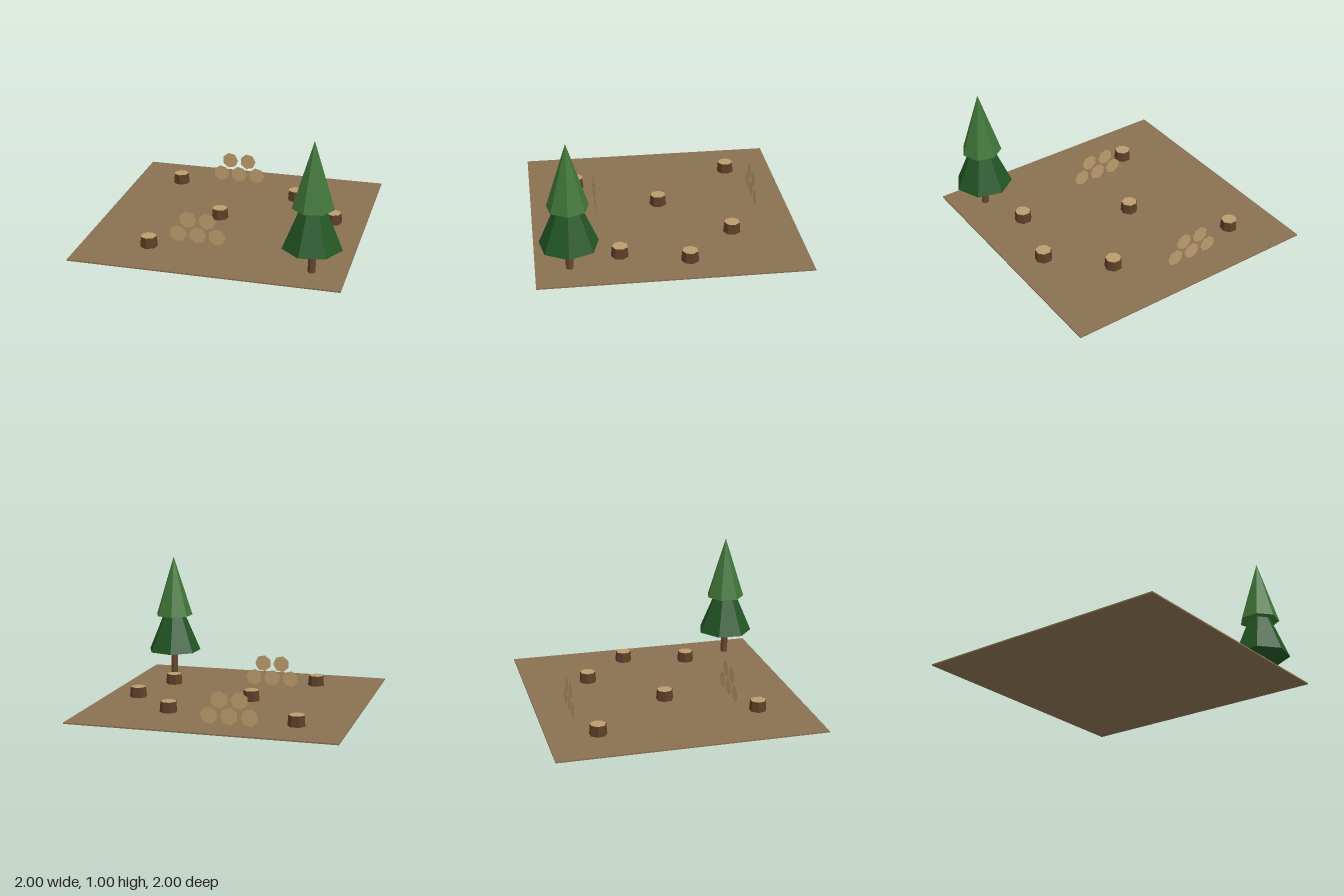
import * as THREE from 'three';

const mat = (name, color) => {
  const m = new THREE.MeshStandardMaterial({ color, flatShading: true });
  m.name = name;
  return m;
};

export function createModel() {
  const root = new THREE.Group();
  root.name = 'forestClearing';

  const soil = mat('soil', 0x8a7050);
  const bark = mat('bark', 0x5c3f28);
  const trunkBark = mat('trunkBark', 0x65452b);
  const cutWood = mat('cutWood', 0xbb9c6c);
  cutWood.side = THREE.DoubleSide;
  const darkLeaf = mat('darkLeaf', 0x225524);
  const lightLeaf = mat('lightLeaf', 0x3f7538);

  const TOP = 0.01; // ground surface height
  const add = (parent, name, geometry, material, x, y, z) => {
    const mesh = new THREE.Mesh(geometry, material);
    mesh.name = name;
    mesh.position.set(x, y, z);
    parent.add(mesh);
    return mesh;
  };

  // Thin square of ground
  add(root, 'ground', new THREE.BoxGeometry(2, TOP, 2), soil, 0, TOP / 2, 0);

  // Tapered stumps with a pale cut top
  const stumpGeo = new THREE.CylinderGeometry(0.06, 0.067, 0.08, 7);
  const stumps = [
    [-0.625, -0.625], [0.375, -0.5], [0.75, -0.125],
    [-0.125, 0], [0.625, 0.375], [-0.5, 0.625],
  ];
  for (const [x, z] of stumps) {
    add(root, 'stump', stumpGeo, [bark, cutWood, bark], x, TOP + 0.04, z);
  }

  // Two stacks of flat log ends, three below and two above
  const logEndGeo = new THREE.CircleGeometry(0.066, 7);
  for (const z of [0.5, -0.75]) {
    const stack = new THREE.Group();
    stack.name = 'logEnds';
    stack.position.set(-0.162, 0, z);
    for (let row = 0; row < 2; row++) {
      const count = 3 - row;
      for (let i = 0; i < count; i++) {
        add(stack, 'logEnd', logEndGeo, cutWood,
          (i - (count - 1) / 2) * 0.15, 0.074 + row * 0.118, 0);
      }
    }
    root.add(stack);
  }

  // Fir tree: trunk and two seven-sided cones
  const tree = new THREE.Group();
  tree.name = 'tree';
  tree.position.set(0.75, TOP, 0.75);
  tree.rotation.y = -0.275;
  add(tree, 'trunk', new THREE.CylinderGeometry(0.028, 0.029, 0.25, 7), trunkBark, 0, 0.125, 0);
  add(tree, 'lowerBranches', new THREE.ConeGeometry(0.22, 0.52, 7), darkLeaf, 0, 0.455, 0);
  add(tree, 'upperBranches', new THREE.ConeGeometry(0.154, 0.49, 7), lightLeaf, 0, 0.74, 0);
  root.add(tree);

  return root;
}
